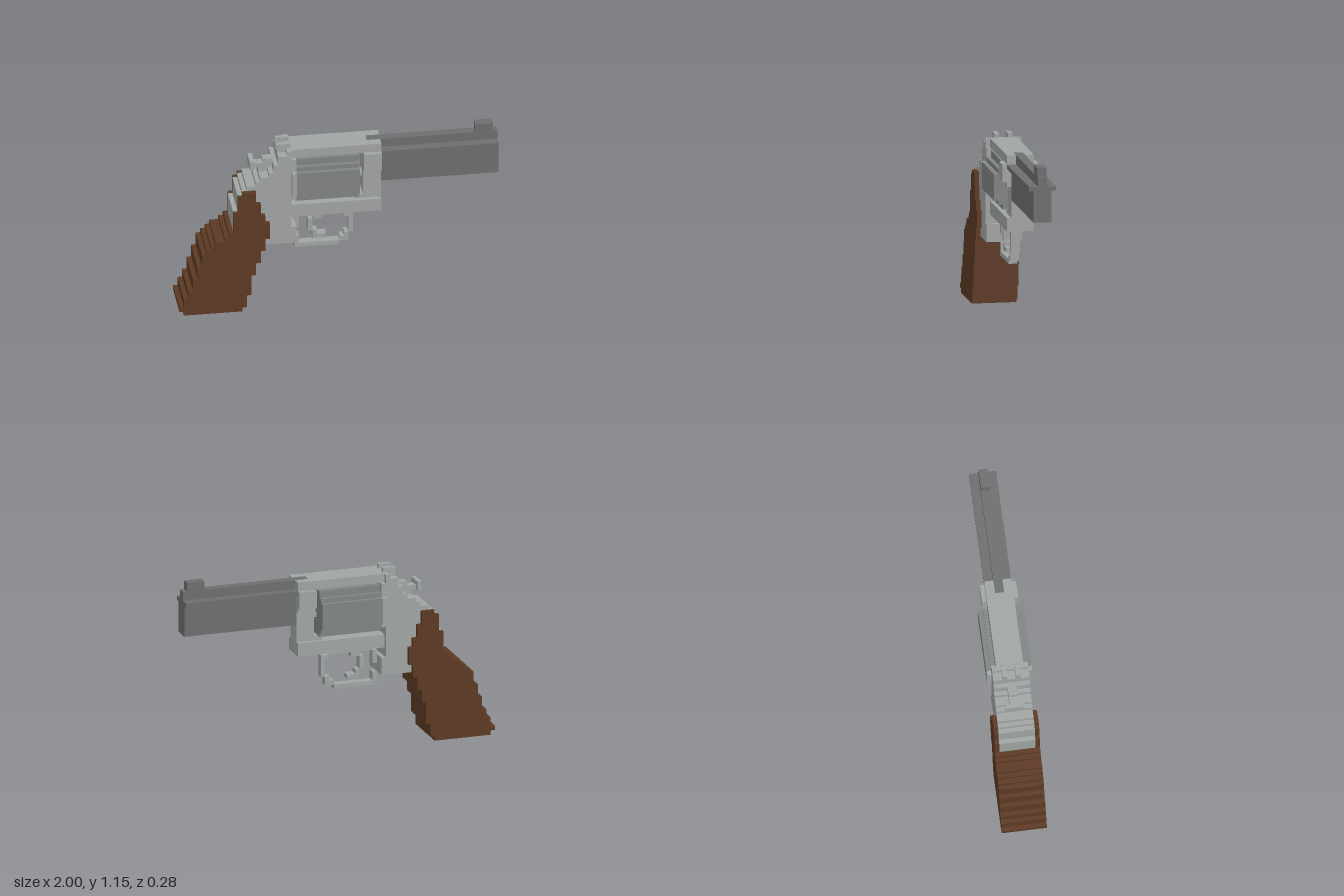
import * as THREE from 'three';
import { mergeGeometries } from 'three/addons/utils/BufferGeometryUtils.js';

// The model sits on a block grid, 71 blocks long; all sizes below are in blocks.
const UNIT = 2 / 71;
const material = (color) => new THREE.MeshStandardMaterial({ color, flatShading: true });
const STEEL = material(0xa0a4a3);
const CYLINDER = material(0x808483);
const DARK = material(0x6c6f6e);
const WOOD = material(0x5c3923);

// Box between two corners
function box([x0, x1, y0, y1, z0, z1]) {
  const g = new THREE.BoxGeometry(x1 - x0, y1 - y0, z1 - z0);
  return g.translate((x0 + x1) / 2, (y0 + y1) / 2, (z0 + z1) / 2);
}

// Stepped side profile from rows [y0, y1, x0, x1] listed bottom to top, extruded in z
function stepped(rows, z0, z1) {
  const right = [], left = [];
  for (const [y0, y1, x0, x1] of rows) {
    right.push([x1, y0], [x1, y1]);
    left.push([x0, y0], [x0, y1]);
  }
  const outline = [...right, ...left.reverse()].map(([x, y]) => new THREE.Vector2(x, y));
  // drop repeated corners
  const points = outline.filter((p, i) => !p.equals(outline[(i + 1) % outline.length]));
  const g = new THREE.ExtrudeGeometry(new THREE.Shape(points), { depth: z1 - z0, bevelEnabled: false });
  return g.translate(0, 0, z0);
}

export function createModel() {
  const model = new THREE.Group();
  const blocks = new THREE.Group();
  blocks.scale.setScalar(UNIT);
  blocks.position.x = -1;
  model.add(blocks);

  function add(name, mat, geometries) {
    const geometry = mergeGeometries(geometries.map((g) => (g.index ? g.toNonIndexed() : g)));
    const mesh = new THREE.Mesh(geometry, mat);
    mesh.name = name;
    blocks.add(mesh);
  }
  // Flat pieces [x0, x1, y0, y1] sharing one half thickness
  const slab = (half, list) => list.map((r) => box([...r, -half, half]));
  // Pieces repeated on both sides
  const pair = (x0, x1, y0, y1, z0, z1) => [box([x0, x1, y0, y1, z0, z1]), box([x0, x1, y0, y1, -z1, -z0])];

  // Wooden grip: solid lower part, thin panels beside the frame above
  add('grip', WOOD, [stepped([
    [0, 1, 1, 14], [1, 2, 0, 15], [2, 4, 1, 15], [4, 6, 2, 16], [6, 9, 3, 16],
    [9, 12, 4, 17], [12, 15, 5, 18], [15, 16, 6, 19], [16, 17, 7, 19],
    [17, 18, 8, 19], [18, 19, 10, 20], [19, 20, 11, 20],
  ], -5, 5)]);
  const panel = [[20, 22, 12, 20], [22, 24, 12, 19], [24, 25, 12, 18], [25, 27, 13, 18],
    [27, 29, 13, 17], [29, 30, 14, 17]];
  add('gripPanels', WOOD, [stepped(panel, 4, 5), stepped(panel, -5, -4)]);

  // Rear frame with stepped back
  add('rearFrame', STEEL, [stepped([
    [16, 18, 19, 26], [18, 20, 20, 26], [20, 22, 12, 25], [22, 25, 12, 25], [25, 29, 13, 25],
    [29, 30, 14, 25], [30, 31, 15, 25], [31, 32, 17, 25], [32, 33, 18, 25], [33, 34, 20, 25],
    [34, 36, 21, 25], [36, 38, 22, 25], [38, 39, 24, 25],
  ], -4, 4)]);
  add('recoilShield', STEEL, [box([25, 26, 28, 34, -5, 5]), box([25, 26, 27, 37, -4, 4])]);
  add('rearSight', STEEL, pair(22, 25, 38, 40, 1, 2));

  // Straps, front post and side lugs enclosing the cylinder
  add('topStrap', STEEL, [box([25, 42, 37, 39, -3, 3]), ...pair(42, 45, 37, 39, 1, 3)]);
  add('bottomStrap', STEEL, [box([25, 45, 22, 25, -3, 3]), box([39, 41, 25, 26, -2, 2])]);
  add('frontPost', STEEL, [
    box([41, 45, 25, 37, -2, 2]),
    ...pair(41, 45, 32, 37, 2, 3), ...pair(41, 45, 33, 37, 3, 4),
  ]);

  // Cylinder in rounded tiers, and its centre pin
  add('cylinder', CYLINDER, [[26, 36.5, 3], [27, 35, 4], [28, 34, 5]]
    .map(([y0, y1, half]) => box([26, 40, y0, y1, -half, half])));
  add('cylinderPin', STEEL, [box([40, 41, 30, 31, -1, 1])]);

  // Barrel with side ledges, top rib and front sight
  add('barrel', DARK, [
    box([45, 71, 29, 37, -2, 2]),
    ...pair(45, 71, 36, 37, 2, 3),
    box([42, 71, 37, 39, -1, 1]),
  ]);
  add('frontSight', DARK, [box([66, 70, 39, 41, -1, 1])]);

  // Hammer and its spur
  add('hammer', STEEL, [
    ...slab(1, [[17, 19, 34, 35], [18, 21, 33, 34], [19, 22, 34, 36]]),
    box([16, 17, 34, 36, -2, 2]),
  ]);

  // Trigger guard loop
  add('triggerGuard', STEEL, slab(1, [
    [27, 37, 21, 22], [26, 27, 18, 21], [26, 27, 13, 16], [27, 36, 13, 14],
    [36, 38, 14, 15], [37, 38, 15, 16], [38, 39, 16, 21], [37, 38, 20, 21],
  ]));
  add('trigger', STEEL, slab(1, [
    [30, 32, 20, 21], [29, 30, 17, 20], [30, 31, 16, 17], [30, 33, 15, 16],
  ]));

  return model;
}
